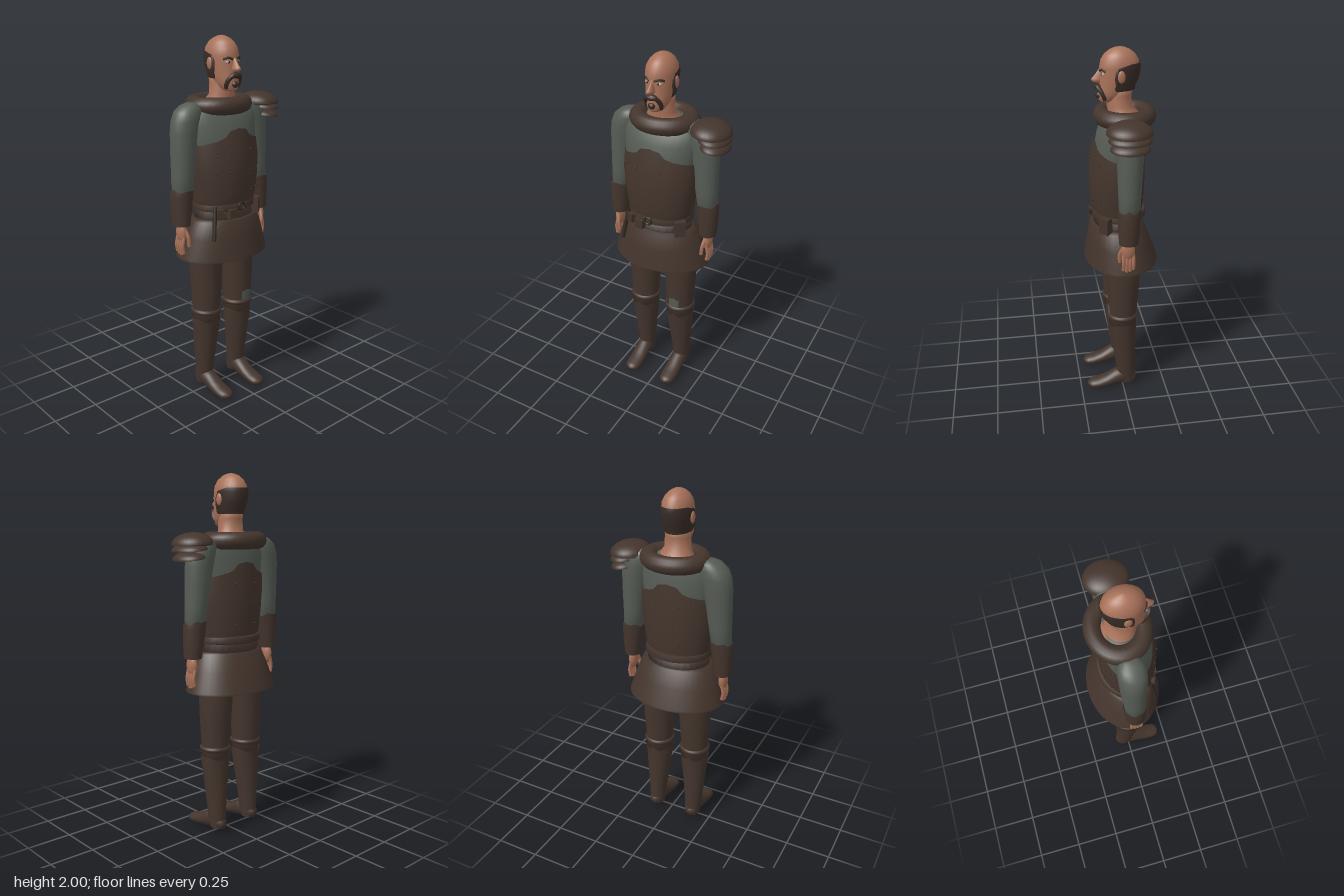
import * as THREE from 'three';

const mat = (name, color) => {
  const m = new THREE.MeshStandardMaterial({ color, side: THREE.DoubleSide });
  m.name = name;
  return m;
};

// Stacked elliptical sections [y, cx, cz, rx, rz]; a0..a1 limits the sweep (0 = front, +x next)
function loft(rows, { seg = 28, a0 = 0, a1 = Math.PI * 2, caps = true } = {}) {
  const closed = a1 - a0 > 6.28, n = closed ? seg : seg + 1, pos = [], idx = [];
  for (const [y, cx, cz, rx, rz] of rows)
    for (let j = 0; j < n; j++) {
      const a = a0 + (a1 - a0) * j / seg;
      pos.push(cx + rx * Math.sin(a), y, cz + rz * Math.cos(a));
    }
  for (let i = 0; i < rows.length - 1; i++)
    for (let j = 0; j < seg; j++) {
      const k = (j + 1) % n, a = i * n + j, b = i * n + k, c = b + n, d = a + n;
      idx.push(a, b, c, a, c, d);
    }
  if (closed && caps)
    [0, rows.length - 1].forEach((r, e) => {
      const [y, cx, cz] = rows[r], centre = pos.length / 3;
      pos.push(cx, y, cz);
      for (let j = 0; j < n; j++) {
        const a = r * n + j, b = r * n + (j + 1) % n;
        e ? idx.push(centre, a, b) : idx.push(centre, b, a);
      }
    });
  const g = new THREE.BufferGeometry();
  g.setAttribute('position', new THREE.Float32BufferAttribute(pos, 3));
  g.setIndex(idx);
  g.computeVertexNormals();
  return g;
}

// Moves every vertex by a rule
function reshape(g, rule) {
  const p = g.attributes.position, v = new THREE.Vector3();
  for (let i = 0; i < p.count; i++) {
    rule(v.fromBufferAttribute(p, i));
    p.setXYZ(i, v.x, v.y, v.z);
  }
  g.computeVertexNormals();
  return g;
}

export function createModel() {
  const skin = mat('skin', 0xa87159), leather = mat('brown leather', 0x44352d);
  const cloth = mat('grey cloth', 0x565c55), hair = mat('dark hair', 0x382c26);
  const eyeWhite = mat('eye white', 0xb5aaa0), metal = mat('dark metal', 0x302823);

  const root = new THREE.Group();
  root.name = 'figure';
  const body = new THREE.Group();
  body.name = 'body';
  body.position.x = -0.03;
  root.add(body);

  const add = (parent, name, geo, material, x = 0, y = 0, z = 0) => {
    const m = new THREE.Mesh(geo, material);
    m.name = name;
    m.position.set(x, y, z);
    parent.add(m);
    return m;
  };
  const ball = (parent, name, material, x, y, z, rx, ry, rz) => {
    const m = add(parent, name, new THREE.SphereGeometry(1, 20, 14), material, x, y, z);
    m.scale.set(rx, ry, rz);
    return m;
  };
  const tube = (pts, r, sides = 8) => new THREE.TubeGeometry(
    new THREE.CatmullRomCurve3(pts.map(p => new THREE.Vector3(...p))), 16, r, sides);
  const ring = (R, r, sy, sz) =>
    new THREE.TorusGeometry(R, r, 14, 32).rotateX(Math.PI / 2).scale(1, sy, sz);

  // Head and neck
  add(body, 'head', loft([
    [1.722, 0, 0.065, 0.028, 0.035], [1.735, 0, 0.055, 0.046, 0.055], [1.765, 0, 0.035, 0.062, 0.077],
    [1.8, 0, 0.018, 0.07, 0.092], [1.85, 0, 0.003, 0.076, 0.1], [1.9, 0, 0, 0.079, 0.105],
    [1.935, 0, 0, 0.075, 0.098], [1.965, 0, 0, 0.06, 0.079], [1.985, 0, 0, 0.04, 0.053],
    [1.996, 0, 0, 0.02, 0.027], [2, 0, 0, 0.002, 0.003]]), skin);
  add(body, 'neck', loft([
    [1.62, 0, -0.025, 0.12, 0.1], [1.66, 0, -0.02, 0.092, 0.08], [1.7, 0, 0.002, 0.07, 0.066],
    [1.76, 0, 0.002, 0.067, 0.064], [1.81, 0, -0.01, 0.064, 0.065]]), skin);
  add(body, 'nose', loft([
    [1.822, 0, 0.108, 0.012, 0.024], [1.832, 0, 0.11, 0.019, 0.036], [1.842, 0, 0.11, 0.017, 0.036],
    [1.865, 0, 0.1, 0.01, 0.026], [1.89, 0, 0.09, 0.008, 0.018]], { seg: 12 }), skin);
  add(body, 'hairBack', reshape(loft([
    [1.785, 0, 0.012, 0.068, 0.092], [1.8, 0, 0.018, 0.074, 0.098], [1.85, 0, 0.003, 0.08, 0.105],
    [1.9, 0, 0, 0.083, 0.109], [1.922, 0, 0, 0.0795, 0.104]], { seg: 24, a0: 1.4, a1: 4.88 }),
    v => { if (v.y > 1.91) v.y -= Math.max(0, v.z + 0.05) * 0.25; }), hair);

  // Facial features, mirrored
  for (const s of [1, -1]) {
    const face = new THREE.Group();
    face.name = s > 0 ? 'leftFace' : 'rightFace';
    face.scale.x = s;
    body.add(face);
    ball(face, 'eye', eyeWhite, 0.032, 1.87, 0.088, 0.014, 0.007, 0.01);
    ball(face, 'iris', metal, 0.031, 1.87, 0.095, 0.006, 0.006, 0.005);
    add(face, 'eyebrow', tube([[0.012, 1.884, 0.103], [0.035, 1.892, 0.096], [0.056, 1.885, 0.077]], 0.006), hair);
    add(face, 'moustache', tube([[0, 1.808, 0.121], [0.022, 1.803, 0.116], [0.037, 1.782, 0.1],
      [0.041, 1.76, 0.088], [0.036, 1.738, 0.08]], 0.012), hair);
    ball(face, 'ear', skin, 0.082, 1.862, 0.002, 0.01, 0.032, 0.02);
    ball(face, 'sideburn', hair, 0.077, 1.85, 0.02, 0.008, 0.045, 0.014);
  }
  ball(body, 'upperLipHair', hair, 0, 1.803, 0.112, 0.034, 0.016, 0.022);
  ball(body, 'chinTuft', hair, 0, 1.757, 0.105, 0.02, 0.018, 0.02);

  // Torso
  add(body, 'shirt', loft([
    [1.08, 0, 0.01, 0.172, 0.11], [1.3, 0, 0.015, 0.188, 0.125], [1.45, 0, 0.012, 0.203, 0.128],
    [1.55, 0, 0.004, 0.215, 0.116], [1.61, 0, -0.005, 0.212, 0.095], [1.645, 0, -0.015, 0.185, 0.08],
    [1.67, 0, -0.02, 0.14, 0.07]]), cloth);
  const plateTop = x => Math.abs(x) < 0.06 ? 1.535 - Math.abs(x) * 0.2
    : Math.abs(x) < 0.085 ? 1.523 - (Math.abs(x) - 0.06) * 1.4 : 1.488 - (Math.abs(x) - 0.085) * 0.3;
  add(body, 'breastplate', reshape(loft([
    [1.11, 0, 0.015, 0.178, 0.134], [1.18, 0, 0.018, 0.19, 0.145], [1.3, 0, 0.018, 0.203, 0.15],
    [1.42, 0, 0.016, 0.213, 0.147], [1.535, 0, 0.008, 0.212, 0.132]], { seg: 48, caps: false }),
    v => { v.y = 1.11 + (v.y - 1.11) * (plateTop(v.x) - 1.11) / 0.425; }), leather);
  for (const y of [1.2, 1.31, 1.42])
    for (const a of [-0.75, -0.35, 0.35, 0.75])
      for (const back of [0, Math.PI])
        ball(body, 'rivet', metal, 0.203 * Math.sin(a + back), y, 0.018 + 0.149 * Math.cos(a + back),
          0.005, 0.005, 0.005);
  add(body, 'collar', ring(0.14, 0.05, 0.92, 0.87), leather, 0, 1.647, -0.025);

  // Waist, belt and skirt
  add(body, 'waist', loft([[1.03, 0, 0.015, 0.182, 0.132], [1.125, 0, 0.012, 0.175, 0.128]]), leather);
  add(body, 'belt', loft([
    [1.095, 0, 0.01, 0.178, 0.143], [1.1, 0, 0.01, 0.186, 0.15], [1.13, 0, 0.01, 0.186, 0.15],
    [1.135, 0, 0.01, 0.178, 0.143]]), leather);
  add(body, 'buckle', new THREE.TorusGeometry(0.02, 0.006, 8, 20), metal, 0, 1.118, 0.163);
  add(body, 'skirt', loft([
    [0.83, 0, -0.003, 0.281, 0.204], [0.84, 0, -0.003, 0.28, 0.203], [0.95, 0, 0.009, 0.245, 0.174],
    [1.042, 0, 0.02, 0.212, 0.147], [1.05, 0, 0.02, 0.18, 0.125]], { seg: 40, caps: false }), leather);
  for (const [x, y, z, w, h, ry] of [[0.16, 1.085, 0.1, 0.06, 0.09, 0.7], [-0.055, 1.085, 0.15, 0.05, 0.05, -0.1],
    [-0.12, 1.09, 0.125, 0.04, 0.05, -0.4]])
    add(body, 'pouch', new THREE.BoxGeometry(w, h, 0.04), leather, x, y, z).rotation.y = ry;
  add(body, 'knife', tube([[-0.145, 1.13, 0.115], [-0.16, 1.04, 0.13], [-0.175, 0.95, 0.142]], 0.011), metal);

  // Limbs, mirrored
  for (const s of [1, -1]) {
    const side = new THREE.Group();
    side.name = s > 0 ? 'leftLimbs' : 'rightLimbs';
    side.scale.x = s;
    body.add(side);
    add(side, 'sleeve', loft([
      [1.18, 0.268, -0.01, 0.054, 0.054], [1.3, 0.257, -0.013, 0.061, 0.06], [1.42, 0.248, -0.016, 0.07, 0.066],
      [1.52, 0.238, -0.017, 0.079, 0.07], [1.58, 0.226, -0.017, 0.084, 0.072], [1.625, 0.212, -0.017, 0.078, 0.07],
      [1.655, 0.198, -0.017, 0.055, 0.055], [1.668, 0.19, -0.017, 0.025, 0.03]]), cloth);
    add(side, 'cuff', reshape(loft([
      [1.03, 0.277, -0.006, 0.046, 0.052], [1.1, 0.274, -0.008, 0.054, 0.057], [1.19, 0.269, -0.01, 0.062, 0.06],
      [1.235, 0.265, -0.011, 0.061, 0.061]], { caps: false }),
      v => { if (v.y > 1.22) v.y -= 0.02 * Math.abs(Math.sin(v.z * 50)); }), leather);

    // Hand
    ball(side, 'palm', skin, 0.28, 0.99, -0.002, 0.024, 0.058, 0.037);
    [0, 1, 2, 3].forEach(i => {
      const z = 0.024 - i * 0.018, tip = 0.868 + Math.abs(i - 1.3) * 0.01;
      add(side, 'finger', tube([[0.283, 0.97, z], [0.293, 0.92, z], [0.288, tip, z]], 0.0095), skin);
      ball(side, 'fingertip', skin, 0.288, tip, z, 0.0095, 0.0095, 0.0095);
    });
    add(side, 'thumb', tube([[0.275, 1.01, 0.022], [0.267, 0.965, 0.04], [0.262, 0.92, 0.04]], 0.0105), skin);
    ball(side, 'thumbTip', skin, 0.262, 0.92, 0.04, 0.0105, 0.0105, 0.0105);

    // Leg
    add(side, 'trouserLeg', loft([
      [0.43, 0.116, 0, 0.076, 0.077], [0.52, 0.115, 0, 0.078, 0.08], [0.65, 0.115, -0.002, 0.087, 0.088],
      [0.83, 0.114, -0.005, 0.095, 0.096], [0.94, 0.105, 0, 0.1, 0.1], [1.03, 0.09, 0.01, 0.085, 0.09]]), leather);
    add(side, 'kneeBand', ring(0.07, 0.018, 0.9, 1), leather, 0.115, 0.5, 0);
    add(side, 'boot', reshape(loft([
      [0.035, 0.12, -0.027, 0.042, 0.046], [0.08, 0.12, -0.02, 0.048, 0.054], [0.15, 0.12, -0.016, 0.052, 0.056],
      [0.25, 0.119, -0.01, 0.062, 0.064], [0.35, 0.117, -0.004, 0.072, 0.071], [0.43, 0.116, 0, 0.08, 0.078],
      [0.462, 0.116, 0, 0.082, 0.081]], { caps: false }),
      v => { if (v.y > 0.45) v.y -= 0.018 * Math.abs(Math.sin((v.x - 0.116) * 40)); }), leather);
    add(side, 'foot', loft([
      [-0.079, 0.12, -0.058, 0.008, 0.01], [-0.07, 0.12, -0.06, 0.03, 0.03], [-0.045, 0.12, -0.066, 0.042, 0.042],
      [0, 0.12, -0.078, 0.046, 0.056], [0.05, 0.12, -0.062, 0.045, 0.048], [0.1, 0.12, -0.043, 0.046, 0.036],
      [0.15, 0.12, -0.032, 0.047, 0.029], [0.185, 0.12, -0.028, 0.042, 0.026], [0.203, 0.12, -0.027, 0.028, 0.018],
      [0.211, 0.12, -0.027, 0.006, 0.005]]).rotateX(Math.PI / 2), leather);
  }
  add(body, 'kneePatch', reshape(loft([
    [0.515, 0.115, 0, 0.081, 0.083], [0.55, 0.115, 0, 0.084, 0.086], [0.57, 0.115, -0.001, 0.085, 0.087],
    [0.582, 0.115, -0.001, 0.086, 0.088]], { seg: 10, a0: -0.38, a1: 0.38 }),
    v => { if (v.y > 0.56) v.y -= Math.abs(v.x - 0.115) * 0.4; }), cloth);

  // Layered shoulder guard on the left
  const dome = new THREE.SphereGeometry(1, 28, 10, 0, Math.PI * 2, 0, Math.PI / 2);
  for (const [x, y, rx, ry, rz, tilt] of [[0.275, 1.632, 0.105, 0.06, 0.118, -0.08],
    [0.295, 1.6, 0.083, 0.04, 0.11, -0.12], [0.3, 1.556, 0.076, 0.04, 0.102, -0.15]]) {
    const m = add(body, 'shoulderGuard', dome, leather, x, y, -0.008);
    m.scale.set(rx, ry, rz);
    m.rotation.z = tilt;
  }
  ball(body, 'shoulderRim', leather, 0.275, 1.632, -0.008, 0.104, 0.012, 0.117);
  return root;
}
